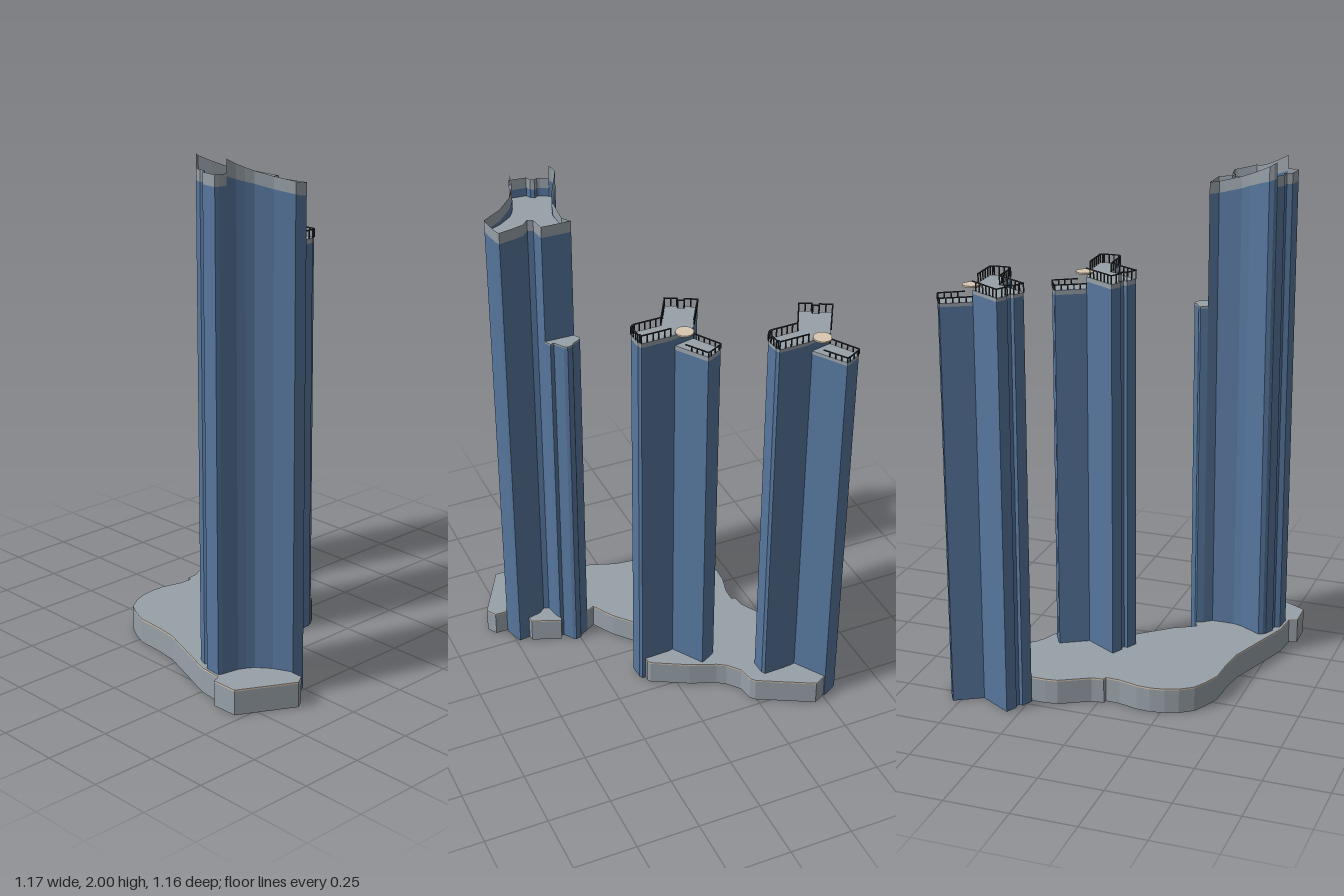
import * as THREE from 'three';
import { mergeGeometries } from 'three/addons/utils/BufferGeometryUtils.js';

const mat = (name, color) => {
  const m = new THREE.MeshStandardMaterial({ color, side: THREE.DoubleSide });
  m.name = name;
  return m;
};

// Puts a plan outline of [x, z] points in counter-clockwise order seen from above
const ordered = (pts) => {
  const flat = pts.map(([x, z]) => new THREE.Vector2(x, -z));
  return THREE.ShapeUtils.isClockWise(flat) ? [...pts].reverse() : pts;
};

// Vertical walls round an outline; heights are functions of z
function walls(outline, low, high) {
  const pts = ordered(outline), pos = [];
  pts.forEach((a, i) => {
    const b = pts[(i + 1) % pts.length];
    const a0 = [a[0], low(a[1]), a[1]], a1 = [a[0], high(a[1]), a[1]];
    const b0 = [b[0], low(b[1]), b[1]], b1 = [b[0], high(b[1]), b[1]];
    pos.push(...a0, ...b0, ...b1, ...a0, ...b1, ...a1);
  });
  const g = new THREE.BufferGeometry();
  g.setAttribute('position', new THREE.Float32BufferAttribute(pos, 3));
  g.computeVertexNormals();
  return g;
}

// Flat horizontal plate
function plate(outline, y) {
  const shape = new THREE.Shape(outline.map(([x, z]) => new THREE.Vector2(x, -z)));
  return new THREE.ShapeGeometry(shape).rotateX(-Math.PI / 2).translate(0, y, 0);
}

// Posts and a top rail along an open path
function railing(path, y, height) {
  const parts = [], t = 0.004;
  for (let i = 0; i < path.length - 1; i++) {
    const [ax, az] = path[i], [bx, bz] = path[i + 1];
    const dx = bx - ax, dz = bz - az, len = Math.hypot(dx, dz);
    const n = Math.max(1, Math.round(len / 0.022));
    for (let k = 0; k < n; k++) {
      parts.push(new THREE.BoxGeometry(t, height, t)
        .translate(ax + dx * k / n, y + height / 2, az + dz * k / n));
    }
    parts.push(new THREE.BoxGeometry(len + t, t, t).rotateY(-Math.atan2(dz, dx))
      .translate((ax + bx) / 2, y + height - t / 2, (az + bz) / 2));
  }
  return mergeGeometries(parts);
}

const PODIUM = [
  [-0.456, -0.584], [-0.244, -0.472], [-0.228, -0.453], [-0.219, -0.394], [-0.178, -0.344],
  [-0.144, -0.322], [-0.044, -0.281], [0.094, -0.206], [0.102, -0.194], [0.1, -0.165],
  [0.04, -0.13], [0.03, -0.09], [0.012, 0], [0.12, 0.125], [0.17, 0.212], [0.206, 0.194],
  [0.3, 0.235], [0.325, 0.183], [0.438, 0.228], [0.44, 0.25], [0.46, 0.326], [0.56, 0.328],
  [0.584, 0.366], [0.468, 0.577], [0.363, 0.579], [0.35, 0.547], [0.256, 0.538],
  [-0.025, 0.438], [-0.12, 0.425], [-0.225, 0.42], [-0.29, 0.394], [-0.34, 0.366],
  [-0.375, 0.316], [-0.394, 0.266], [-0.403, 0.21], [-0.4, 0.156], [-0.38, 0.08],
  [-0.378, 0.025], [-0.394, 0.022], [-0.4, -0.025], [-0.463, -0.14], [-0.469, -0.188],
  [-0.47, -0.3], [-0.5, -0.42], [-0.506, -0.558],
];

// Three-winged tower: main part (east and south-west wings) and a lower north-west wing
const MAIN_WINGS = [
  [-0.43, -0.441], [-0.41, -0.446], [-0.294, -0.45], [-0.292, -0.441], [-0.287, -0.436],
  [-0.285, -0.378], [-0.294, -0.369], [-0.3, -0.374], [-0.302, -0.366], [-0.41, -0.362],
  [-0.478, -0.24], [-0.52, -0.26], [-0.517, -0.274], [-0.537, -0.285], [-0.543, -0.275],
  [-0.586, -0.297], [-0.512, -0.422],
];
const LOW_WING = [
  [-0.512, -0.422], [-0.572, -0.525], [-0.563, -0.533], [-0.518, -0.558], [-0.506, -0.562],
  [-0.43, -0.441],
];

// Tall curved tower and its lower annex
const TALL = [
  [0.216, 0.226], [0.24, 0.256], [0.241, 0.344], [0.231, 0.378], [0.205, 0.425],
  [0.181, 0.466], [0.188, 0.482], [0.196, 0.49], [0.197, 0.492], [0.225, 0.507],
  [0.237, 0.51], [0.25, 0.502], [0.264, 0.51], [0.272, 0.53], [0.338, 0.535],
  [0.344, 0.52], [0.349, 0.492], [0.3495, 0.49], [0.356, 0.453], [0.37, 0.425],
  [0.388, 0.397], [0.44, 0.356], [0.512, 0.323], [0.506, 0.3], [0.492, 0.256],
  [0.485, 0.243], [0.438, 0.252], [0.388, 0.263], [0.363, 0.284], [0.342, 0.277], [0.332, 0.226],
];
const ANNEX = [
  [0.216, 0.226], [0.203, 0.2], [0.206, 0.192], [0.242, 0.172], [0.247, 0.162], [0.27, 0.156],
  [0.282, 0.165], [0.306, 0.204], [0.322, 0.2], [0.332, 0.226],
];

export function createModel() {
  const model = new THREE.Group();
  model.name = 'towerComplex';
  const glass = mat('blue glass', 0x56769c);
  const grey = mat('grey concrete', 0x98a1a9);
  const tan = mat('tan stone', 0xd8c8b2);
  const dark = mat('dark metal', 0x30353b);
  const add = (parent, name, geometry, material) => {
    const m = new THREE.Mesh(geometry, material);
    m.name = name;
    parent.add(m);
  };
  const group = (name) => {
    const g = new THREE.Group();
    g.name = name;
    model.add(g);
    return g;
  };
  const at = (y) => () => y;

  // Podium, open underneath
  const podium = group('podium');
  add(podium, 'podiumWall', walls(PODIUM, at(0), at(0.094)), grey);
  add(podium, 'podiumTrim', walls(PODIUM, at(0.094), at(0.1)), tan);
  add(podium, 'podiumDeck', plate(PODIUM, 0.1), grey);

  // Pair of winged towers
  const wingedTower = (name, dx, dz, roof, lowRoof, band) => {
    const g = group(name);
    g.position.set(dx, 0, dz);
    const section = (label, outline, y, railPath, railHeight) => {
      add(g, label + 'Glass', walls(outline, at(0), at(y - band)), glass);
      add(g, label + 'Band', walls(outline, at(y - band), at(y)), grey);
      add(g, label + 'Roof', plate(outline, y), grey);
      add(g, label + 'Railing', railing(railPath, y, railHeight), dark);
    };
    section('mainWings', MAIN_WINGS, roof, MAIN_WINGS.slice(1), 0.035);
    section('lowWing', LOW_WING, lowRoof, LOW_WING.slice(0, 5).concat([[-0.455, -0.481]]), 0.022);
    // Round canopy over the junction of the wings
    add(g, 'canopy', new THREE.CylinderGeometry(0.034, 0.034, 0.006, 32)
      .translate(-0.465, roof + 0.006, -0.447), tan);
  };
  wingedTower('backTower', 0, 0, 1.614, 1.57, 0.013);
  wingedTower('middleTower', 0.41, 0.275, 1.586, 1.54, 0.018);

  // Tall tower with a swept parapet rising to two peaks
  const crown = (z) => z > 0.491 ? 1.95
    : 1.905 + 0.095 * Math.pow(Math.max(0, (z - 0.24) / 0.25), 1.5);
  const crownBase = (z) => crown(z) - (z > 0.491 ? 0.042 : 0.045 + 0.015 * Math.max(0, (z - 0.4) / 0.09));
  const tall = group('tallTower');
  add(tall, 'tallGlass', walls(TALL, at(0), crownBase), glass);
  add(tall, 'parapet', walls(TALL, crownBase, crown), grey);
  add(tall, 'tallRoof', plate(TALL, 1.875), grey);
  add(tall, 'annexGlass', walls(ANNEX, at(0), at(1.417)), glass);
  add(tall, 'annexBand', walls(ANNEX, at(1.417), at(1.424)), grey);
  add(tall, 'annexRoof', plate(ANNEX, 1.424), grey);

  return model;
}
